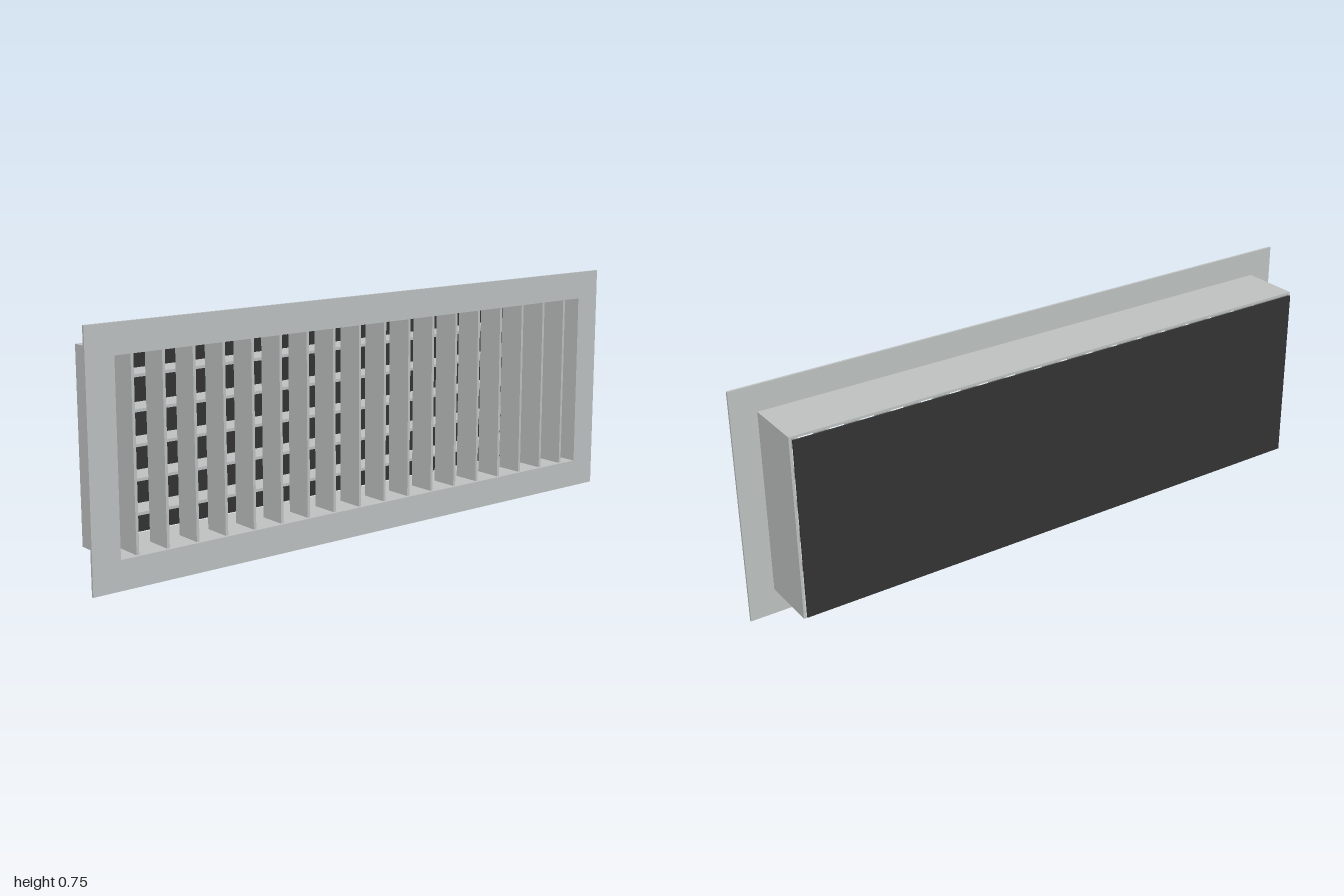
import * as THREE from 'three';

export function createModel() {
  const model = new THREE.Group();
  model.name = 'ventGrille';
  const metal = new THREE.MeshStandardMaterial({ color: 0xbec2c1 });
  metal.name = 'pale grey metal';
  const dark = new THREE.MeshStandardMaterial({ color: 0x333333 });
  dark.name = 'dark grey backing';

  const midY = 0.375;
  const innerW = 1.82, innerH = 0.57; // clear opening
  const wall = 0.0075;

  // Rectangular ring, extruded from z0 to z1
  function ring(name, w, h, z0, z1) {
    const rect = (path, a, b) => path.moveTo(-a / 2, -b / 2).lineTo(a / 2, -b / 2)
      .lineTo(a / 2, b / 2).lineTo(-a / 2, b / 2).closePath();
    const shape = rect(new THREE.Shape(), w, h);
    shape.holes.push(rect(new THREE.Path(), innerW, innerH));
    const geo = new THREE.ExtrudeGeometry(shape, { depth: z1 - z0, bevelEnabled: false });
    const mesh = new THREE.Mesh(geo, metal);
    mesh.name = name;
    mesh.position.set(0, midY, z0);
    model.add(mesh);
  }

  function box(name, w, h, d, x, y, z, material, parent = model) {
    const mesh = new THREE.Mesh(new THREE.BoxGeometry(w, h, d), material);
    mesh.name = name;
    mesh.position.set(x, y, z);
    parent.add(mesh);
  }

  // Front flange and the open duct collar behind it
  ring('faceFrame', 2, 0.75, 0.0975, 0.105);
  ring('ductCollar', innerW + 2 * wall, innerH + 2 * wall, -0.094, 0.0975);

  // Upright blades in front
  const uprights = new THREE.Group();
  uprights.name = 'verticalBlades';
  for (let i = 0; i < 18; i++) {
    box('verticalBlade', 0.009, innerH, 0.09, -0.85 + i * 0.1, midY, 0.05, metal, uprights);
  }

  // Level blades behind them
  const levels = new THREE.Group();
  levels.name = 'horizontalBlades';
  for (let i = 0; i < 5; i++) {
    box('horizontalBlade', innerW, 0.009, 0.09, 0, 0.175 + i * 0.1, -0.047, metal, levels);
  }
  model.add(uprights, levels);

  // Closing plate, set just off the back of the collar
  box('backPlate', innerW, innerH, 0.005, 0, midY, -0.1025, dark);

  return model;
}
